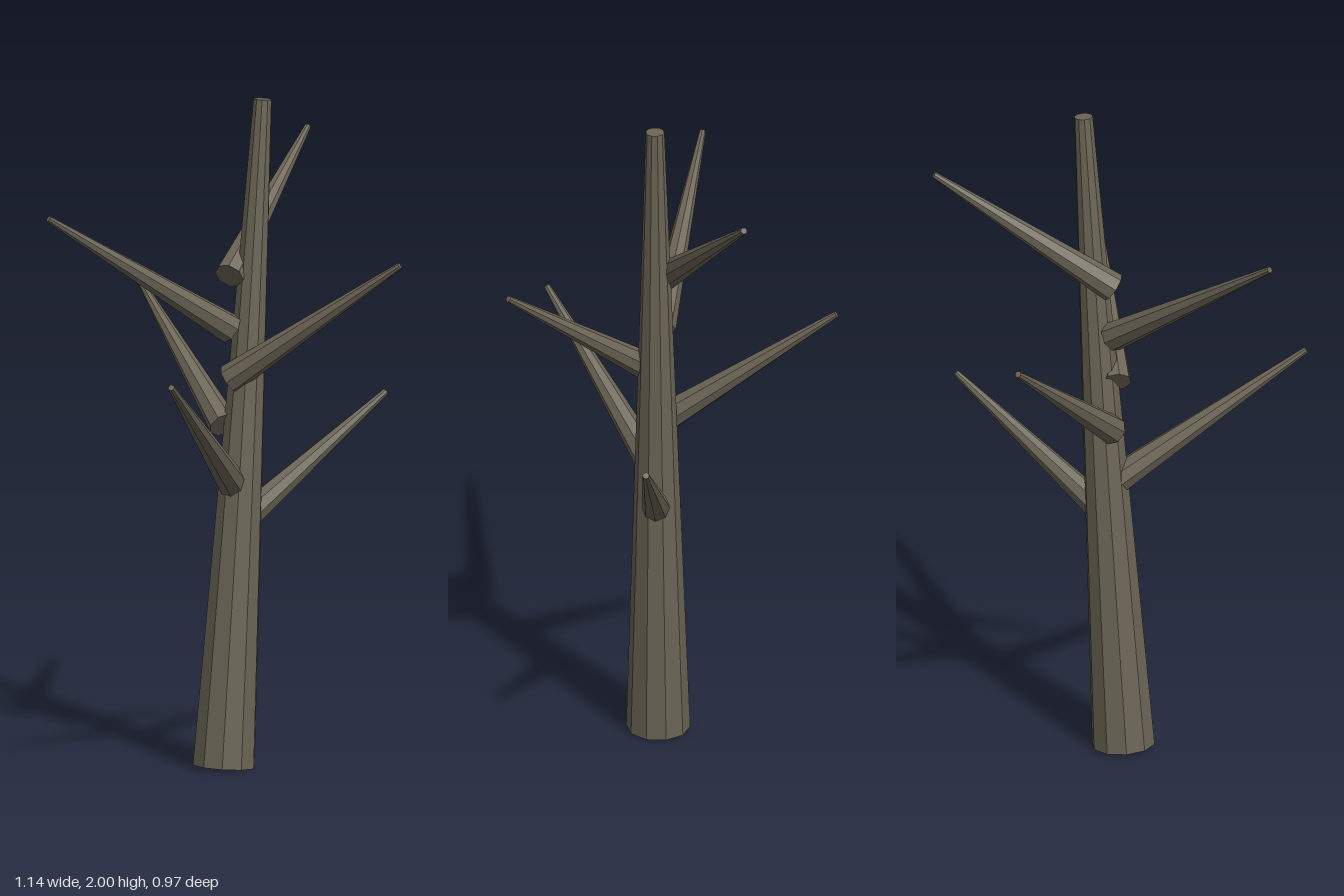
import * as THREE from 'three';

const bark = new THREE.MeshStandardMaterial({ color: 0x6b6556, flatShading: true });
const UP = new THREE.Vector3(0, 1, 0);

// Tapered limb running between two points
function limb(name, from, to, rBase, rTip, sides) {
  const a = new THREE.Vector3(...from);
  const dir = new THREE.Vector3(...to).sub(a);
  const geometry = new THREE.CylinderGeometry(rTip, rBase, dir.length(), sides);
  const mesh = new THREE.Mesh(geometry, bark);
  mesh.name = name;
  mesh.position.copy(a).addScaledVector(dir, 0.5);
  mesh.quaternion.setFromUnitVectors(UP, dir.normalize());
  return mesh;
}

export function createModel() {
  const tree = new THREE.Group();
  tree.name = 'bareTree';

  // Leaning trunk
  tree.add(limb('trunk', [-0.007, 0.007, 0.052], [0.13, 1.998, 0.052], 0.095, 0.028, 10));

  // Branches spiralling up the trunk: base, tip
  const branches = [
    [[0.04, 0.727, 0.052], [0.566, 1.078, 0.05]],
    [[0.015, 0.855, 0.065], [-0.425, 1.235, 0.41]],
    [[0.013, 1.025, 0.02], [0.043, 1.383, -0.48]],
    [[0.016, 1.167, 0.05], [0.34, 1.538, 0.474]],
    [[0.024, 1.315, 0.042], [-0.565, 1.69, -0.042]],
    [[0.02, 1.475, 0.04], [0.476, 1.842, -0.235]],
  ];
  branches.forEach(([base, tip], i) => {
    tree.add(limb(`branch${i + 1}`, base, tip, 0.045, 0.01, 8));
  });

  return tree;
}
